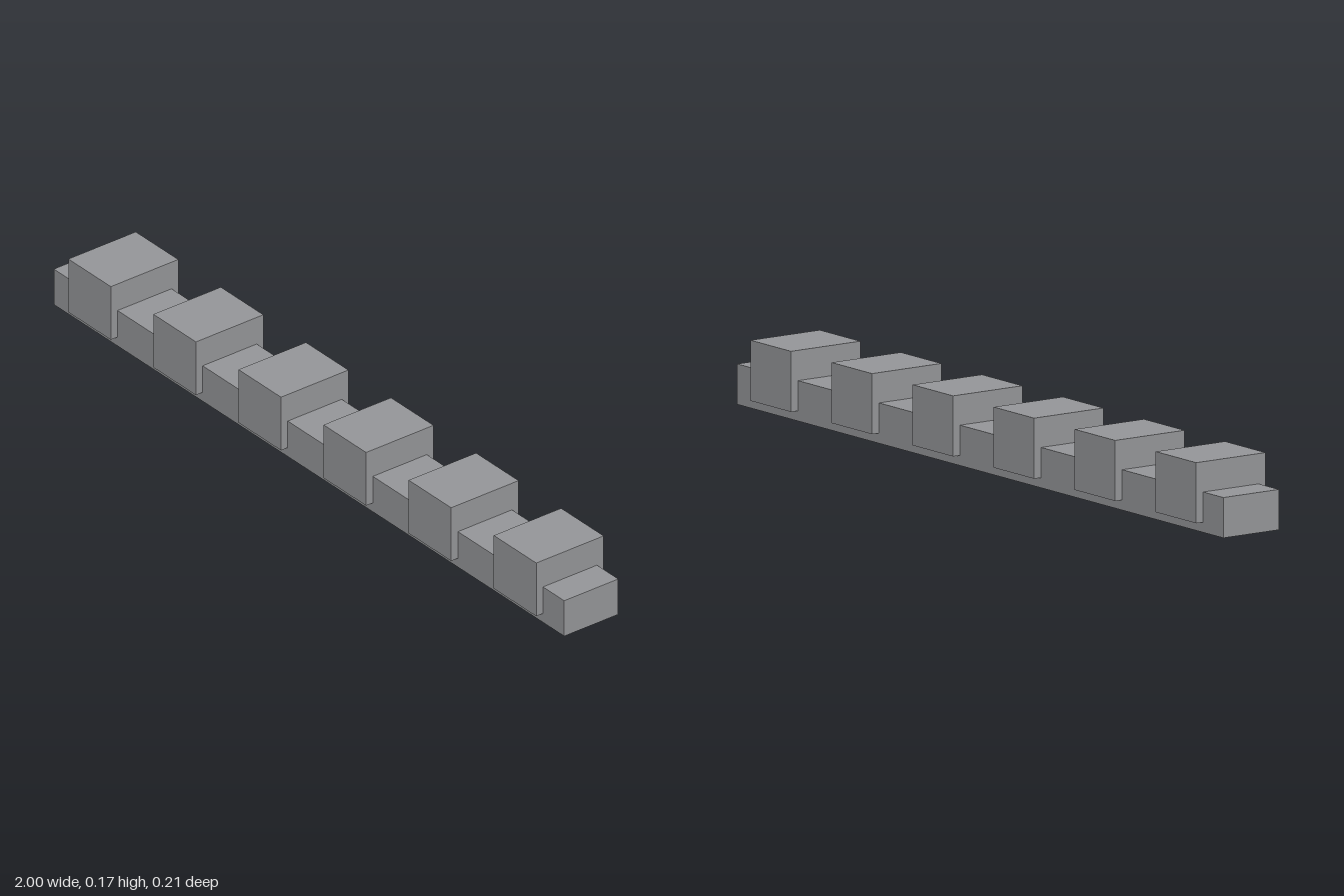
import * as THREE from 'three';

const BLOCKS = 6;
const LENGTH = 2;

export function createModel() {
  const group = new THREE.Group();
  group.name = 'battlementWall';
  const material = new THREE.MeshStandardMaterial({ color: 0x97989b });

  const addBox = (name, width, height, depth, x, bottom) => {
    const mesh = new THREE.Mesh(new THREE.BoxGeometry(width, height, depth), material);
    mesh.name = name;
    mesh.position.set(x, bottom + height / 2, 0);
    group.add(mesh);
  };

  // Long base beam
  addBox('beam', LENGTH, 0.1, 1 / 6, 0, 0);

  // Evenly spaced blocks, wider than the beam and wrapping its sides
  const pitch = LENGTH / BLOCKS;
  for (let i = 0; i < BLOCKS; i++) {
    addBox(`merlon${i + 1}`, pitch / 2, 0.15, 0.208, (i + 0.5) * pitch - LENGTH / 2, 0.025);
  }

  return group;
}
